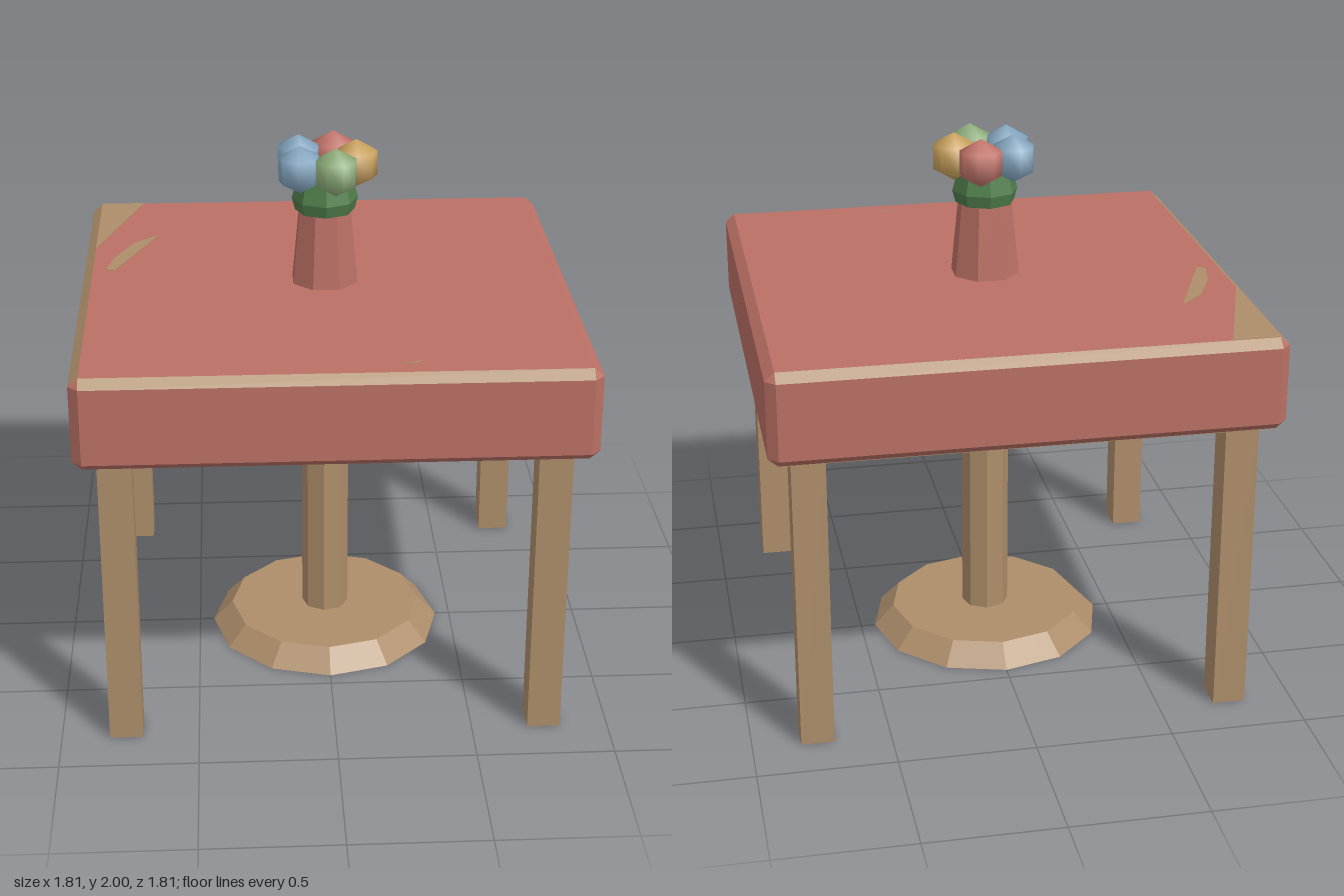
import * as THREE from 'three';

const material = (name, color) => {
  const m = new THREE.MeshStandardMaterial({ color });
  m.name = name;
  return m;
};

export function createModel() {
  const group = new THREE.Group();
  const wood = material('wood', 0xad8d6a);
  const cloth = material('clothRed', 0xba7064);
  const leafGreen = material('leafGreen', 0x4f7d4b);
  const blue = material('petalBlue', 0x86a8c2);
  const green = material('petalGreen', 0x8fae7c);
  const gold = material('petalGold', 0xcba35e);
  const rose = material('petalRose', 0xc4766c);

  const add = (name, geometry, mat, x = 0, y = 0, z = 0, turn = 0, parent = group) => {
    const mesh = new THREE.Mesh(geometry, mat);
    mesh.name = name;
    mesh.position.set(x, y, z);
    mesh.rotation.y = turn;
    parent.add(mesh);
    return mesh;
  };
  const flat = (geometry) => {
    const g = geometry.index ? geometry.toNonIndexed() : geometry;
    g.computeVertexNormals();
    return g;
  };

  // Pedestal and four corner legs
  add('pedestalBase', flat(new THREE.CylinderGeometry(0.37, 0.445, 0.08, 12)), wood, 0, 0.04, 0);
  add('pedestalColumn', flat(new THREE.CylinderGeometry(0.09, 0.09, 1.06, 8)), wood, 0, 0.6, 0, -0.09);
  for (const sx of [-1, 1]) {
    for (const sz of [-1, 1]) {
      add('leg', new THREE.BoxGeometry(0.12, 1.13, 0.12), wood, sx * 0.765, 0.565, sz * 0.765);
    }
  }

  // Chamfered tabletop built from four rings; some upper bevels show the wood
  const inset = 0.87, full = 0.905;
  const ring = (h, y) => {
    const points = [];
    for (let k = 0; k < 4; k++) {
      for (let [x, z] of [[h, -inset], [h, inset]]) {
        for (let i = 0; i < k; i++) [x, z] = [-z, x];
        points.push(new THREE.Vector3(x, y, z));
      }
    }
    return points;
  };
  const rings = [ring(inset, 1.12), ring(full, 1.15), ring(full, 1.43), ring(inset, 1.46)];
  const red = [], bare = [];
  const tri = (list, a, b, c) => {
    if (new THREE.Triangle(a, b, c).getArea() > 1e-7) list.push(a, b, c);
  };
  for (let r = 0; r < 3; r++) {
    for (let i = 0; i < 8; i++) {
      const j = (i + 1) % 8;
      const [a, b, c, d] = [rings[r][i], rings[r][j], rings[r + 1][i], rings[r + 1][j]];
      const list = r === 2 && [2, 4, 6].includes(i) ? bare : red;
      tri(list, a, c, b);
      tri(list, b, c, d);
    }
  }
  const [bottom, top] = [rings[0], rings[3]];
  tri(red, top[0], top[4], top[2]);
  tri(red, top[0], top[6], top[4]);
  tri(red, bottom[0], bottom[2], bottom[4]);
  tri(red, bottom[0], bottom[4], bottom[6]);
  const soup = (points) => flat(new THREE.BufferGeometry().setFromPoints(points));
  add('tablecloth', soup(red), cloth);
  add('bareTableEdge', soup(bare), wood);

  // Thin patches of bare wood, outlined in x and z
  const patch = (name, outline, y) => {
    const shape = new THREE.Shape(outline.map(([x, z]) => new THREE.Vector2(x, -z)));
    const plate = new THREE.ExtrudeGeometry(shape, { depth: 0.004, bevelEnabled: false });
    add(name, plate.rotateX(-Math.PI / 2), wood, 0, y, 0);
  };
  patch('cornerPatch', [[-0.87, -0.87], [-0.7, -0.87], [-0.87, -0.35]], 1.458);
  patch('topSliver', [[-0.63, -0.49], [-0.72, -0.41], [-0.79, -0.26], [-0.82, -0.13], [-0.79, -0.11]], 1.458);
  patch('frontSliver', [[0.22, 0.8], [0.27, 0.79], [0.31, 0.765], [0.27, 0.8]], 1.458);
  patch('undersidePatch', [[0.87, -0.87], [-0.87, -0.87], [-0.87, -0.64], [0.87, -0.19]], 1.118);

  // Vase with a leafy collar and a ring of five blooms
  add('vase', flat(new THREE.CylinderGeometry(0.1, 0.13, 0.3, 8)), cloth, 0, 1.6, 0, Math.PI / 8);
  const collar = [[0, 1.73], [0.11, 1.735], [0.122, 1.78], [0.1, 1.86], [0, 1.92]]
    .map(([x, y]) => new THREE.Vector2(x, y));
  add('leaves', flat(new THREE.LatheGeometry(collar, 8)), leafGreen);

  const bouquet = new THREE.Group();
  bouquet.name = 'bouquet';
  group.add(bouquet);
  [gold, green, blue, blue, rose].forEach((mat, i) => {
    const a = (i / 5) * Math.PI * 2;
    add('bloom', new THREE.SphereGeometry(0.09, 8, 3), mat,
      Math.cos(a) * 0.115, 1.91, Math.sin(a) * 0.115, -a, bouquet);
  });

  return group;
}
